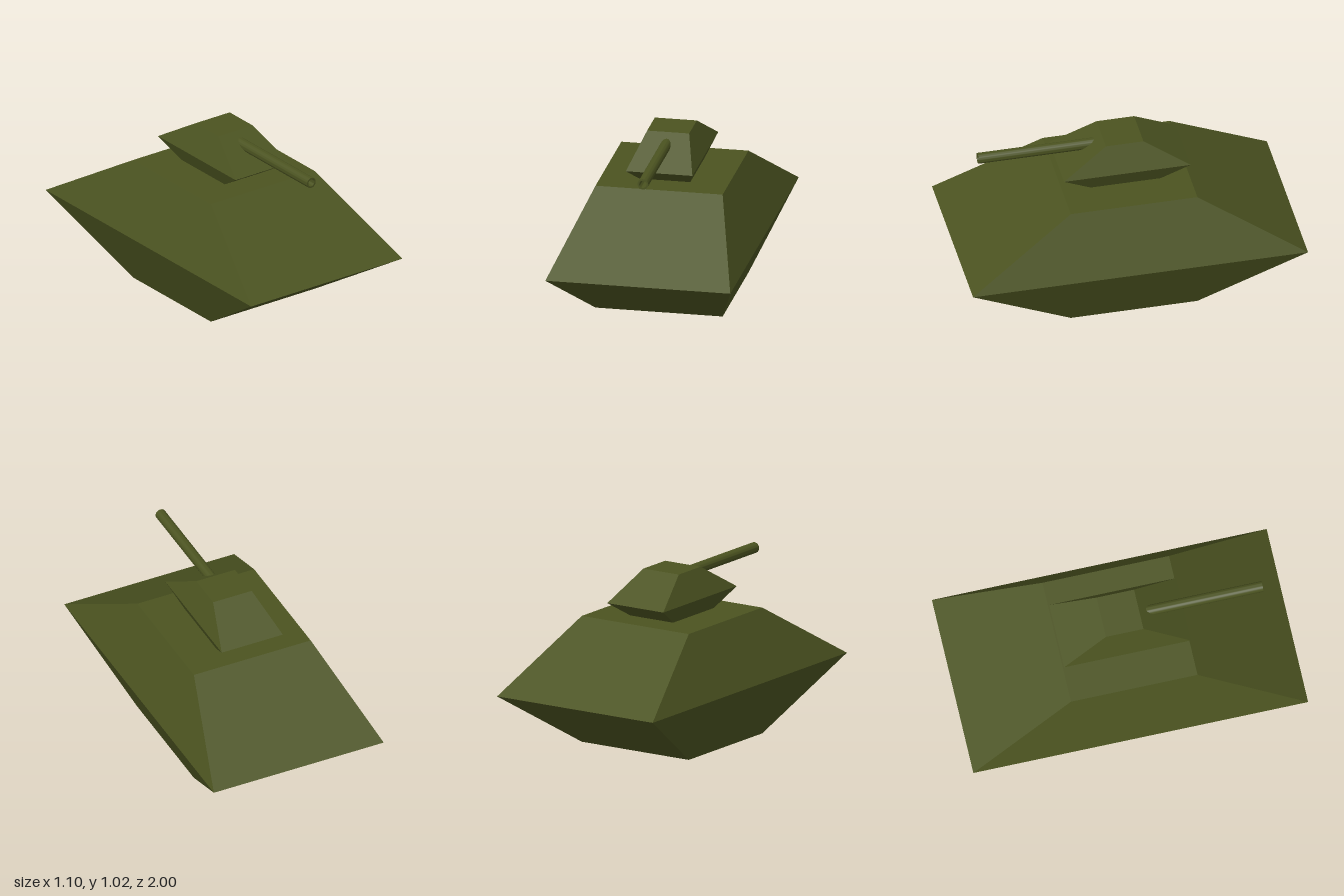
import * as THREE from 'three';
import { toCreasedNormals } from 'three/addons/utils/BufferGeometryUtils.js';

// Faceted solid through rectangular sections [y, halfWidth, halfLength], listed bottom to top
function rectLoft(sections) {
  const positions = [];
  const index = [];
  for (const [y, w, l] of sections) {
    positions.push(-w, y, l, w, y, l, w, y, -l, -w, y, -l);
  }
  for (let s = 0; s < sections.length - 1; s++) {
    for (let i = 0; i < 4; i++) {
      const a = s * 4 + i;
      const b = s * 4 + ((i + 1) % 4);
      index.push(a, b, b + 4, a, b + 4, a + 4);
    }
  }
  const t = (sections.length - 1) * 4;
  index.push(0, 2, 1, 0, 3, 2, t, t + 1, t + 2, t, t + 2, t + 3);
  const indexed = new THREE.BufferGeometry();
  indexed.setAttribute('position', new THREE.Float32BufferAttribute(positions, 3));
  indexed.setIndex(index);
  const geometry = indexed.toNonIndexed();
  geometry.computeVertexNormals();
  return geometry;
}

export function createModel() {
  const model = new THREE.Group();
  model.name = 'tank';
  const paint = new THREE.MeshStandardMaterial({ color: 0x4b5320 });

  const add = (name, geometry) => {
    const mesh = new THREE.Mesh(geometry, paint);
    mesh.name = name;
    model.add(mesh);
    return mesh;
  };

  // Wedge-nosed hull, widest at mid height
  add('hull', rectLoft([
    [0, 0.378, 0.378],
    [0.379, 0.55, 1],
    [0.757, 0.378, 0.378],
  ]));

  // Turret of the same form, its base sunk into the hull
  add('turret', rectLoft([
    [0.698, 0.125, 0.112],
    [0.86, 0.198, 0.378],
    [1.022, 0.125, 0.112],
  ]));

  // Hollow gun barrel: outer wall, muzzle ring, bore and rear ring
  const outer = 0.032;
  const bore = 0.022;
  const length = 0.75;
  const profile = [
    [outer, 0], [outer, length], [bore, length], [bore, 0], [outer, 0],
  ].map(([r, y]) => new THREE.Vector2(r, y));
  const barrel = add('gunBarrel',
    toCreasedNormals(new THREE.LatheGeometry(profile, 32).rotateX(Math.PI / 2), 0.6));
  barrel.position.set(0, 0.964, 0.1);

  return model;
}
